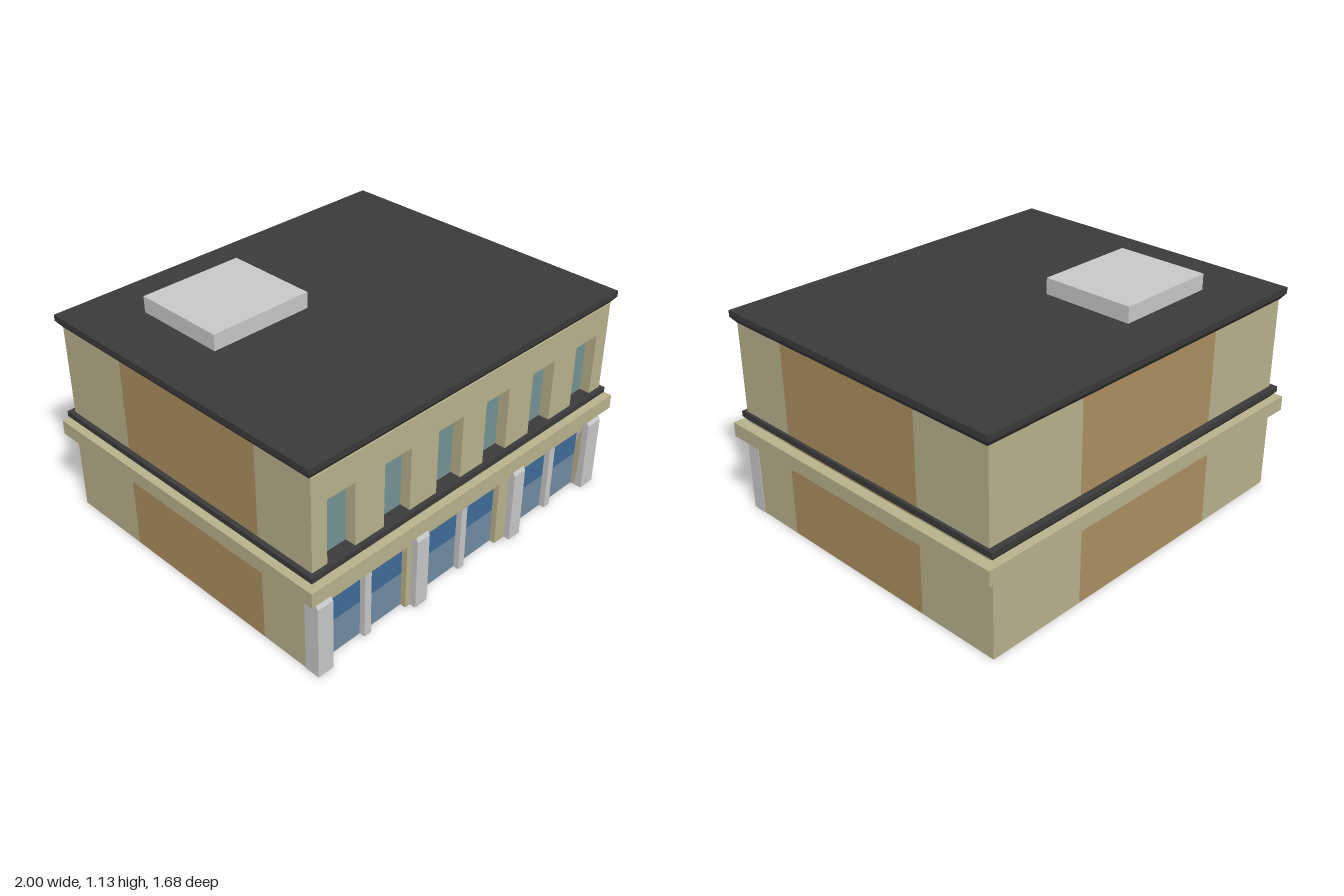
import * as THREE from 'three';

export function createModel() {
  const model = new THREE.Group();
  const mat = (name, color) => {
    const m = new THREE.MeshStandardMaterial({ color, side: THREE.DoubleSide });
    m.name = name;
    return m;
  };
  const beige = mat('beige wall', 0xb8b28c);
  const brown = mat('brown wall', 0xac8f5f);
  const dark = mat('dark roof', 0x3a3a3a);
  const silver = mat('light grey', 0xc8c8c8);
  const blue = mat('blue glass', 0x3e6c98);
  const paleBlue = mat('pale blue glass', 0x718ba2);
  const teal = mat('teal glass', 0x749293);

  const add = (name, geo, m) => {
    const mesh = new THREE.Mesh(geo, m);
    mesh.name = name;
    model.add(mesh);
    return mesh;
  };
  const box = (name, m, x0, x1, y0, y1, z0, z1) =>
    add(name, new THREE.BoxGeometry(x1 - x0, y1 - y0, z1 - z0), m)
      .position.set((x0 + x1) / 2, (y0 + y1) / 2, (z0 + z1) / 2);

  // Upright panel from (xa, za) to (xb, zb), facing outwards
  const panel = (name, m, xa, za, xb, zb, y0, y1) => {
    const p = add(name, new THREE.PlaneGeometry(Math.hypot(xb - xa, zb - za), y1 - y0), m);
    p.position.set((xa + xb) / 2, (y0 + y1) / 2, (za + zb) / 2);
    p.rotation.y = Math.atan2(za - zb, xb - xa);
  };

  // Cornice with a sloping lower edge
  const cornice = (name, x0, x1, z0, z1, y0, y1) => {
    const ym = (y0 + y1) / 2;
    box(name, dark, x0, x1, ym, y1, z0, z1);
    const geo = new THREE.BoxGeometry(x1 - x0, ym - y0, z1 - z0);
    const p = geo.attributes.position;
    for (let i = 0; i < p.count; i++) {
      if (p.getY(i) < 0) {
        p.setX(i, p.getX(i) - Math.sign(p.getX(i)) * 0.022);
        p.setZ(i, p.getZ(i) - Math.sign(p.getZ(i)) * 0.022);
      }
    }
    geo.computeVertexNormals();
    add(name + 'Slope', geo, dark)
      .position.set((x0 + x1) / 2, (y0 + ym) / 2, (z0 + z1) / 2);
  };

  // Side and back walls, each with a brown centre panel
  const walls = (prefix, xl, xr, zb, zf, y0, y1, bandFront) => {
    const run = (side, pts) => {
      for (let i = 0; i < 3; i++) {
        const [a, b] = [pts[i], pts[i + 1]];
        panel(prefix + side, i === 1 ? brown : beige, a[0], a[1], b[0], b[1], y0, y1);
      }
    };
    const zs = [zf, bandFront, -0.375, zb];
    run('RightWall', zs.map(z => [xr, z]));
    run('LeftWall', [...zs].reverse().map(z => [xl, z]));
    run('BackWall', [xr, 0.42, -0.46, xl].map(x => [x, zb]));
  };
  walls('lower', -0.957, 0.94, -0.8, 0.8, 0, 0.42, 0.5);
  walls('upper', -0.957, 0.947, -0.79, 0.8, 0.48, 1, 0.485);

  // Front walls: piers between openings, with a lintel above
  const frontWall = (prefix, xl, xr, openings, y0, yTop, y1, depth) => {
    const xs = [xl, ...openings.flat(), xr];
    for (let i = 0; i < xs.length; i += 2) {
      box(prefix + 'Pier', beige, xs[i], xs[i + 1], y0, yTop, 0.8 - depth, 0.8);
    }
    box(prefix + 'Lintel', beige, xl, xr, yTop, y1, 0.8 - depth, 0.8);
  };
  const shopWindows = [[-0.875, -0.405], [-0.265, 0.21], [0.38, 0.85]];
  const upperWindows = [-0.875, -0.555, -0.235, 0.07, 0.39, 0.71].map(x => [x, x + 0.155]);
  frontWall('lower', -0.957, 0.94, shopWindows, 0, 0.34, 0.41, 0.03);
  frontWall('upper', -0.957, 0.947, upperWindows, 0.48, 0.85, 0.99, 0.055);

  // Glass
  for (const [a, b] of shopWindows) {
    panel('shopGlassLower', paleBlue, a, 0.771, b, 0.771, 0, 0.18);
    panel('shopGlassUpper', blue, a, 0.771, b, 0.771, 0.18, 0.34);
  }
  for (const [a, b] of upperWindows) panel('upperGlass', teal, a, 0.746, b, 0.746, 0.48, 0.85);

  // Shop window mullions
  for (const x of [-0.64, -0.03, 0.61]) {
    box('mullion', silver, x - 0.019, x + 0.019, 0, 0.34, 0.755, 0.8);
  }

  // Pillars with a sloping top
  const profile = new THREE.Shape([[0.755, 0], [0.832, 0], [0.832, 0.365], [0.803, 0.41], [0.755, 0.41]]
    .map(([z, y]) => new THREE.Vector2(z, y)));
  for (const [a, b] of [[-0.96, -0.875], [-0.375, -0.3], [0.28, 0.355], [0.85, 0.943]]) {
    const geo = new THREE.ExtrudeGeometry(profile, { depth: b - a, bevelEnabled: false });
    geo.rotateY(-Math.PI / 2);
    add('pillar', geo, silver).position.x = b;
  }

  // Ledge, cornices and roof unit
  box('ledge', beige, -1, 1, 0.41, 0.483, -0.842, 0.842);
  cornice('middleCornice', -0.98, 0.962, -0.82, 0.822, 0.483, 0.537);
  cornice('roofCornice', -0.98, 0.975, -0.815, 0.815, 0.99, 1.05);
  box('roofUnit', silver, -0.68, -0.143, 1.05, 1.13, -0.55, -0.07);

  return model;
}
